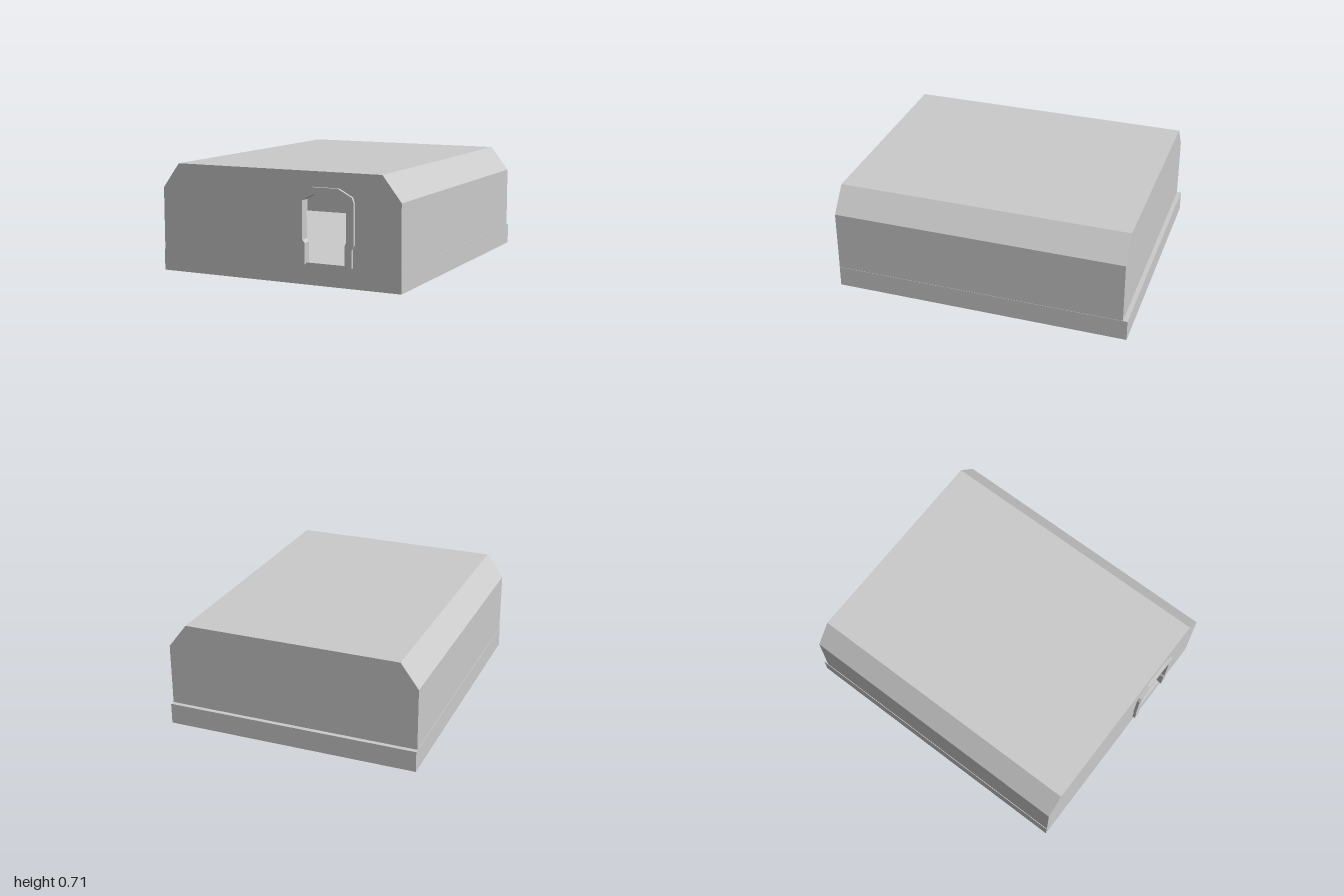
import * as THREE from 'three';

const FLOOR = 0.14, FRONT = 0.98, BACK = -0.97, WALL = 0.04;

// Chamfered hall profile, inset by t, listed from the right foot over the roof to the left foot
const hallProfile = (t) => [
  [0.848, FLOOR, -1, 0], [0.848, 0.55, -1, -0.35], [0.722, 0.712, -0.5, -1],
  [-0.726, 0.712, 0.5, -1], [-0.846, 0.55, 1, -0.35], [-0.846, FLOOR, 1, 0],
].map(([x, y, dx, dy]) => [x + dx * t, y + dy * t]);

// Doorway outlines, from the left foot over the arch to the right foot
const doorOuter = [
  [0.16, 0.13], [0.16, 0.245], [0.145, 0.27], [0.145, 0.535], [0.16, 0.565], [0.25, 0.615],
  [0.435, 0.615], [0.53, 0.565], [0.54, 0.535], [0.54, 0.27], [0.528, 0.245], [0.528, 0.13],
];
const doorInner = (y) => [
  [0.205, y], [0.205, 0.265], [0.19, 0.285], [0.19, 0.53], [0.265, 0.57],
  [0.42, 0.57], [0.49, 0.53], [0.49, 0.285], [0.48, 0.265], [0.48, y],
];

export function createModel() {
  const group = new THREE.Group();
  const material = new THREE.MeshStandardMaterial({ color: 0xcccccc, flatShading: true });

  const add = (name, geometry) => {
    const mesh = new THREE.Mesh(geometry, material);
    mesh.name = name;
    group.add(mesh);
  };
  // Extrudes an outline in the xy plane between two depths
  const slab = (name, points, z0, z1) => {
    const shape = new THREE.Shape(points.map(([x, y]) => new THREE.Vector2(x, y)));
    const geometry = new THREE.ExtrudeGeometry(shape, { depth: z1 - z0, bevelEnabled: false });
    add(name, geometry.translate(0, 0, z0));
  };

  // Plinth, whose top is the floor and which steps out at the back
  const plinth = new THREE.BoxGeometry(1.7, FLOOR, FRONT + 1);
  add('plinth', plinth.translate(0, FLOOR / 2, (FRONT - 1) / 2));

  // Hollow side walls and roof
  const outer = hallProfile(0);
  slab('wallsAndRoof', [...outer, ...hallProfile(WALL).reverse()], BACK + WALL, FRONT - WALL);

  // End walls, the front one cut open for the doorway
  slab('backWall', outer, BACK, BACK + WALL);
  slab('frontWall', [...outer, ...doorInner(FLOOR)], FRONT - WALL, FRONT);

  // Raised door surround
  slab('doorFrame', [...doorOuter, ...doorInner(0.13).reverse()], FRONT, 1);

  return group;
}
